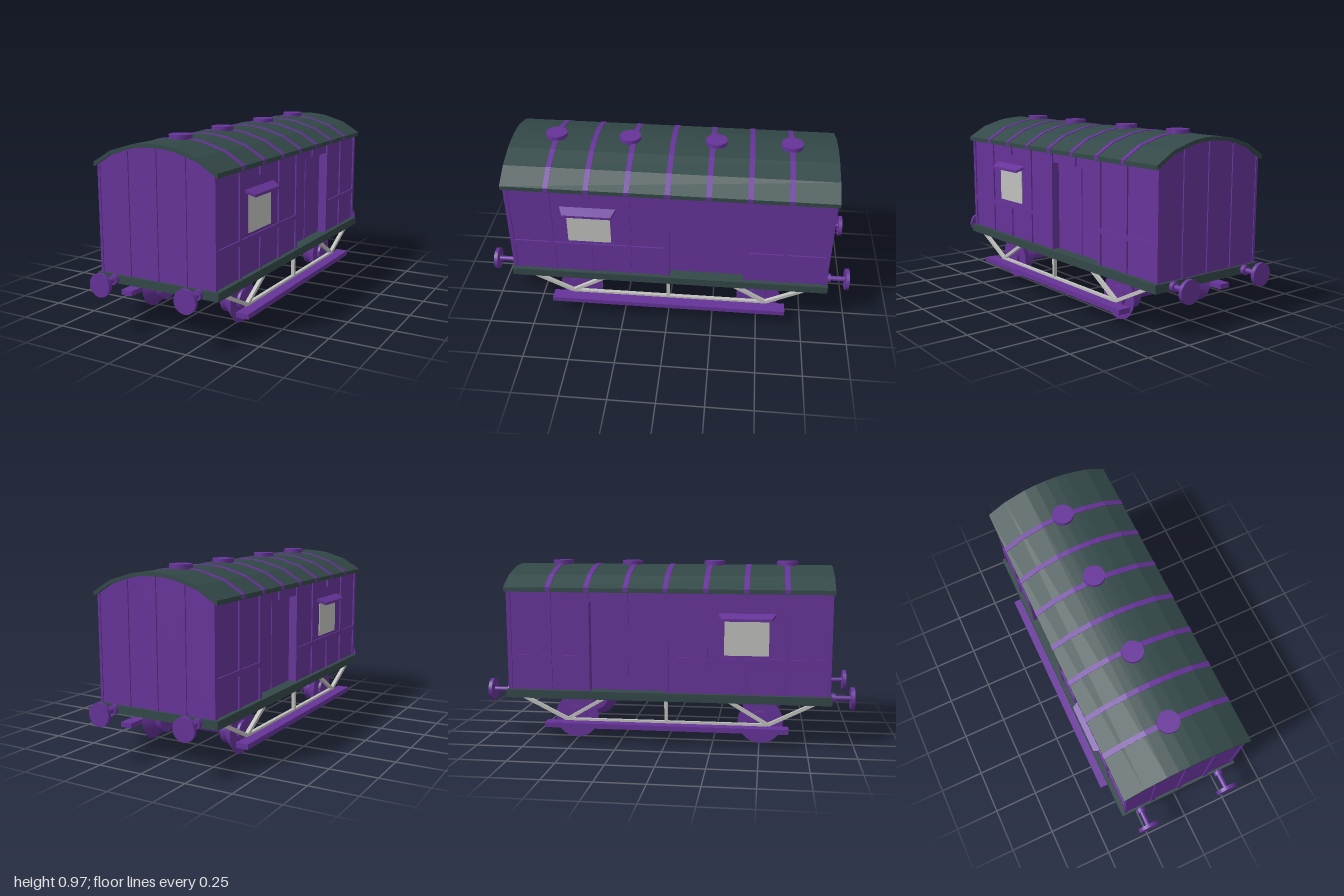
import * as THREE from 'three';
import { toCreasedNormals } from 'three/addons/utils/BufferGeometryUtils.js';
import { ConvexGeometry } from 'three/addons/geometries/ConvexGeometry.js';

export function createModel() {
  const model = new THREE.Group();
  const mat = (name, color) => {
    const m = new THREE.MeshStandardMaterial({ color });
    m.name = name;
    return m;
  };
  const purple = mat('purple paint', 0x663399);
  const slate = mat('dark slate', 0x334848);
  const grey = mat('light grey', 0xc0c0be);

  const add = (name, geo, material) => {
    const mesh = new THREE.Mesh(geo, material);
    mesh.name = name;
    model.add(mesh);
    return mesh;
  };
  // Box given by its lower and upper limits on each axis
  const box = (name, material, x0, x1, y0, y1, z0, z1) => {
    const mesh = add(name, new THREE.BoxGeometry(Math.abs(x1 - x0), y1 - y0, z1 - z0), material);
    mesh.position.set((x0 + x1) / 2, (y0 + y1) / 2, (z0 + z1) / 2);
    return mesh;
  };
  // Cross-section in x and y, extruded from z0 to z1
  const extrude = (name, material, points, z0, z1) => {
    const shape = new THREE.Shape(points.map(([x, y]) => new THREE.Vector2(x, y)));
    const geo = new THREE.ExtrudeGeometry(shape, { depth: z1 - z0, bevelEnabled: false });
    geo.translate(0, 0, z0);
    return add(name, geo, material);
  };
  const mirrorX = (half) => [...half, ...half.slice(0, -1).reverse().map(([x, y]) => [-x, y])];
  const sides = [1, -1];

  // Roof curves, from the eaves to the ridge
  const outer = mirrorX([[0.353, 0.84], [0.247, 0.903], [0.125, 0.939], [0.06, 0.948], [0, 0.951]]);
  const inner = mirrorX([[0.353, 0.817], [0.247, 0.882], [0.125, 0.92], [0.06, 0.929], [0, 0.931]]);
  const lift = (pts, d) => pts.map(([x, y]) => [x, y + d]);
  extrude('roof', slate, [...outer, ...[...inner].reverse()], -0.878, 0.878);
  for (const z of [0.635, 0.425, 0.213, 0, -0.213, -0.425, -0.635]) {
    extrude('roofBand', purple, [...lift(outer, 0.003), ...lift(inner, 0.004).reverse()]
      .map(([x, y]) => [x * 1.004, y]), z - 0.014, z + 0.014);
  }
  for (const z of [0.638, 0.235, -0.232, -0.635]) {
    add('roofVent', new THREE.CylinderGeometry(0.058, 0.058, 0.03, 32), purple).position.set(0, 0.957, z);
  }

  // Body: two full sections with a narrower one between them for the recessed doors
  const section = (w, eave) => [[-w, 0.28], [w, 0.28],
    ...mirrorX([[w, eave], [0.247, 0.885], [0.125, 0.924], [0, 0.935]])];
  extrude('frontBody', purple, section(0.328, 0.836), 0, 0.865);
  extrude('rearBody', purple, section(0.328, 0.836), -0.865, -0.415);
  extrude('doorSection', purple, section(0.285, 0.864), -0.415, 0);
  box('underframe', slate, -0.353, 0.353, 0.237, 0.281, -0.878, 0.878);

  // Side walls
  for (const s of sides) {
    const rib = (z, y0, y1, w = 0.022) =>
      box('sideRib', purple, s * 0.322, s * 0.336, y0, y1, z - w / 2, z + w / 2);
    box('doorLintel', purple, s * 0.28, s * 0.328, 0.765, 0.836, -0.415, 0);
    for (const z of [0.859, 0.635, 0.213, 0.002, -0.426, -0.635, -0.859]) rib(z, 0.28, 0.832);
    rib(0.425, 0.28, 0.45, 0.018);
    rib(0.425, 0.765, 0.832);
    rib(-0.213, 0.765, 0.832);
    box('doorSeam', purple, s * 0.28, s * 0.289, 0.28, 0.765, -0.217, -0.209);
    box('waistRail', purple, s * 0.322, s * 0.336, 0.447, 0.474, 0, 0.868);
    box('waistRail', purple, s * 0.322, s * 0.336, 0.447, 0.474, -0.868, -0.42);
    box('window', grey, s * 0.326, s * 0.332, 0.49, 0.68, 0.31, 0.545);
    // Sloping canopy over the window
    const canopy = [];
    for (const [x, y, w] of [[0.326, 0.714, 0.152], [0.326, 0.698, 0.152], [0.375, 0.69, 0.13], [0.375, 0.676, 0.13]]) {
      for (const e of sides) canopy.push(new THREE.Vector3(s * x, y, 0.428 + e * w));
    }
    add('windowCanopy', new ConvexGeometry(canopy), purple);
  }

  // Ribs on the end walls
  for (const e of sides) {
    for (const [x, top] of [[-0.164, 0.905], [0, 0.932], [0.164, 0.905]]) {
      const rib = box('endRib', purple, x - 0.014, x + 0.014, 0.28, top, -0.005, 0.005);
      rib.position.z = e * 0.867;
    }
  }

  // Buffers: collar, shaft and round head
  const disc = (name, r, length, x, y, z) => {
    const mesh = add(name, new THREE.CylinderGeometry(r, r, length, 32), purple);
    mesh.rotation.x = Math.PI / 2;
    mesh.position.set(x, y, z);
  };
  for (const e of sides) for (const s of sides) {
    disc('bufferCollar', 0.025, 0.026, s * 0.245, 0.258, e * 0.888);
    disc('bufferShaft', 0.014, 0.11, s * 0.245, 0.258, e * 0.93);
    disc('bufferHead', 0.06, 0.02, s * 0.245, 0.258, e * 0.99);
  }

  // Wheelsets: each wheel is turned about its axle
  const wheelProfile = [[0, 0.183], [0.075, 0.183], [0.075, 0.215], [0.121, 0.27],
    [0.055, 0.27], [0.055, 0.285], [0, 0.285]].map(([r, d]) => new THREE.Vector2(r, d));
  const wheelGeo = toCreasedNormals(new THREE.LatheGeometry(wheelProfile, 40), 0.5);
  for (const z of [0.505, -0.505]) {
    const axle = add('axle', new THREE.CylinderGeometry(0.034, 0.034, 0.4, 24), purple);
    axle.rotation.z = Math.PI / 2;
    axle.position.set(0, 0.125, z);
    for (const s of sides) {
      const wheel = add('wheel', wheelGeo, purple);
      wheel.rotation.z = -s * Math.PI / 2;
      wheel.position.set(0, 0.125, z);
    }
  }

  // Step boards and the truss rods that carry them
  for (const s of sides) {
    box('stepBoard', purple, s * 0.32, s * 0.388, 0.085, 0.112, -0.655, 0.655);
    const rod = (z0, y0, z1, y1) => {
      const mesh = add('trussRod', new THREE.BoxGeometry(0.02, 0.018, Math.hypot(z1 - z0, y1 - y0)), grey);
      mesh.position.set(s * 0.319, (y0 + y1) / 2, (z0 + z1) / 2);
      mesh.rotation.x = -Math.atan2(y1 - y0, z1 - z0);
    };
    rod(-0.545, 0.115, 0.545, 0.115);
    rod(0, 0.112, 0, 0.24);
    for (const e of sides) {
      rod(e * 0.545, 0.118, e * 0.8, 0.245);
      rod(e * 0.545, 0.118, e * 0.33, 0.245);
    }
  }
  return model;
}
